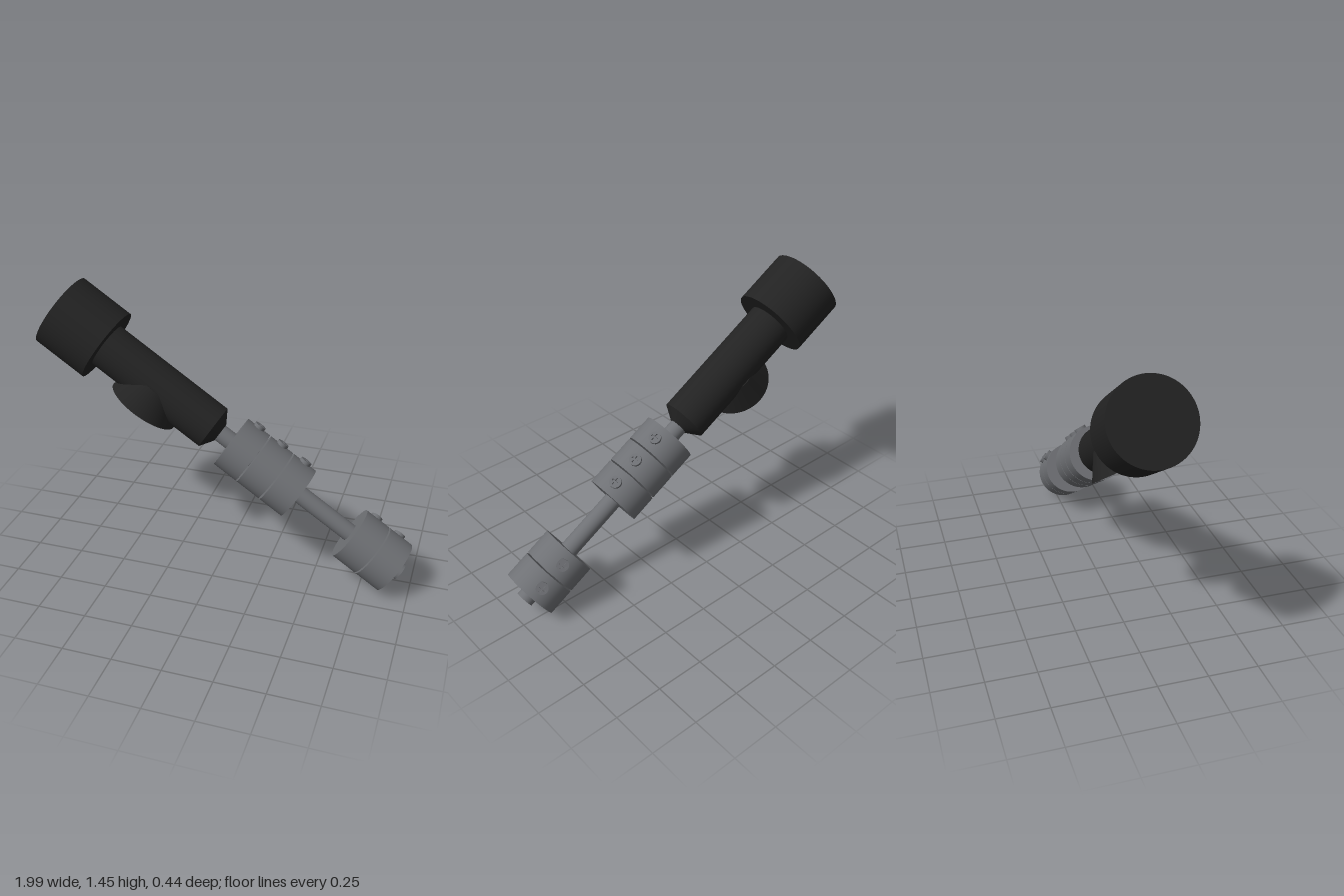
import * as THREE from 'three';

export function createModel() {
  const model = new THREE.Group();
  const black = new THREE.MeshStandardMaterial({ color: 0x222222 });
  black.name = 'matte black';
  const steel = new THREE.MeshStandardMaterial({ color: 0x6e7074 });
  steel.name = 'steel grey';

  // Everything sits along the local y axis, which runs from the head to the tip
  const body = new THREE.Group();
  body.name = 'body';
  const start = new THREE.Vector3(-0.89, 1.287, -0.02);
  const along = new THREE.Vector3(0.915, 0.127, 0.055).sub(start).normalize();
  const down = new THREE.Vector3().crossVectors(along, new THREE.Vector3(0, 0, 1)).normalize();
  const side = new THREE.Vector3().crossVectors(down, along);
  body.quaternion.setFromRotationMatrix(new THREE.Matrix4().makeBasis(down, along, side));
  body.position.copy(start);
  model.add(body);

  // A cylinder or cone between two stations on the axis
  function section(name, from, to, r0, r1, material) {
    const mesh = new THREE.Mesh(new THREE.CylinderGeometry(r1, r0, to - from, 64), material);
    mesh.position.y = (from + to) / 2;
    mesh.name = name;
    body.add(mesh);
  }

  // A group at a station on the axis whose own +y points radially outward
  function radial(name, station, degrees) {
    const turn = new THREE.Group();
    turn.position.y = station;
    turn.rotation.y = THREE.MathUtils.degToRad(degrees);
    const part = new THREE.Group();
    part.rotation.z = -Math.PI / 2;
    turn.name = name;
    turn.add(part);
    body.add(turn);
    return part;
  }

  // Head, barrel and tapered nose
  section('head', 0, 0.295, 0.2, 0.2, black);
  section('barrel', 0.29, 0.98, 0.12, 0.12, black);
  section('nose', 0.98, 1.025, 0.12, 0.05, black);

  // Flared knob under the barrel
  const knob = new THREE.Mesh(new THREE.CylinderGeometry(0.19, 0.125, 0.135, 64), black);
  knob.position.y = 0.0675;
  knob.name = 'knobCone';
  radial('knob', 0.628, -15).add(knob);

  // Shaft running through the collars
  section('shaft', 1.0, 2.185, 0.046, 0.046, steel);

  // Screw head with a cross-shaped recess
  const screwShape = new THREE.Shape().absarc(0, 0, 0.031, 0, Math.PI * 2, false);
  const w = 0.005, l = 0.02;
  const cross = [[w, w], [w, l], [-w, l], [-w, w], [-l, w], [-l, -w],
    [-w, -w], [-w, -l], [w, -l], [w, -w], [l, -w], [l, w]];
  screwShape.holes.push(new THREE.Path(cross.map(([x, y]) => new THREE.Vector2(x, y))));
  const screwTop = new THREE.ExtrudeGeometry(screwShape, { depth: 0.012, bevelEnabled: false, curveSegments: 24 });
  screwTop.rotateX(-Math.PI / 2);
  const screwBase = new THREE.CylinderGeometry(0.031, 0.031, 0.04, 32);

  function addScrew(station, degrees) {
    const part = radial('screw', station, degrees);
    const top = new THREE.Mesh(screwTop, steel);
    top.position.y = 0.148;
    top.name = 'screwHead';
    const base = new THREE.Mesh(screwBase, steel);
    base.position.y = 0.128;
    base.name = 'screwBase';
    part.add(top, base);
  }

  // Rows of collars with narrow gaps, one screw each
  function collars(from, count, degrees) {
    const width = 0.139, gap = 0.008;
    for (let i = 0; i < count; i++) {
      const a = from + i * (width + gap);
      section('collar', a, a + width, 0.145, 0.145, steel);
      addScrew(a + width / 2, degrees);
    }
  }
  collars(1.095, 3, 159);
  collars(1.86, 2, 130);

  return model;
}
